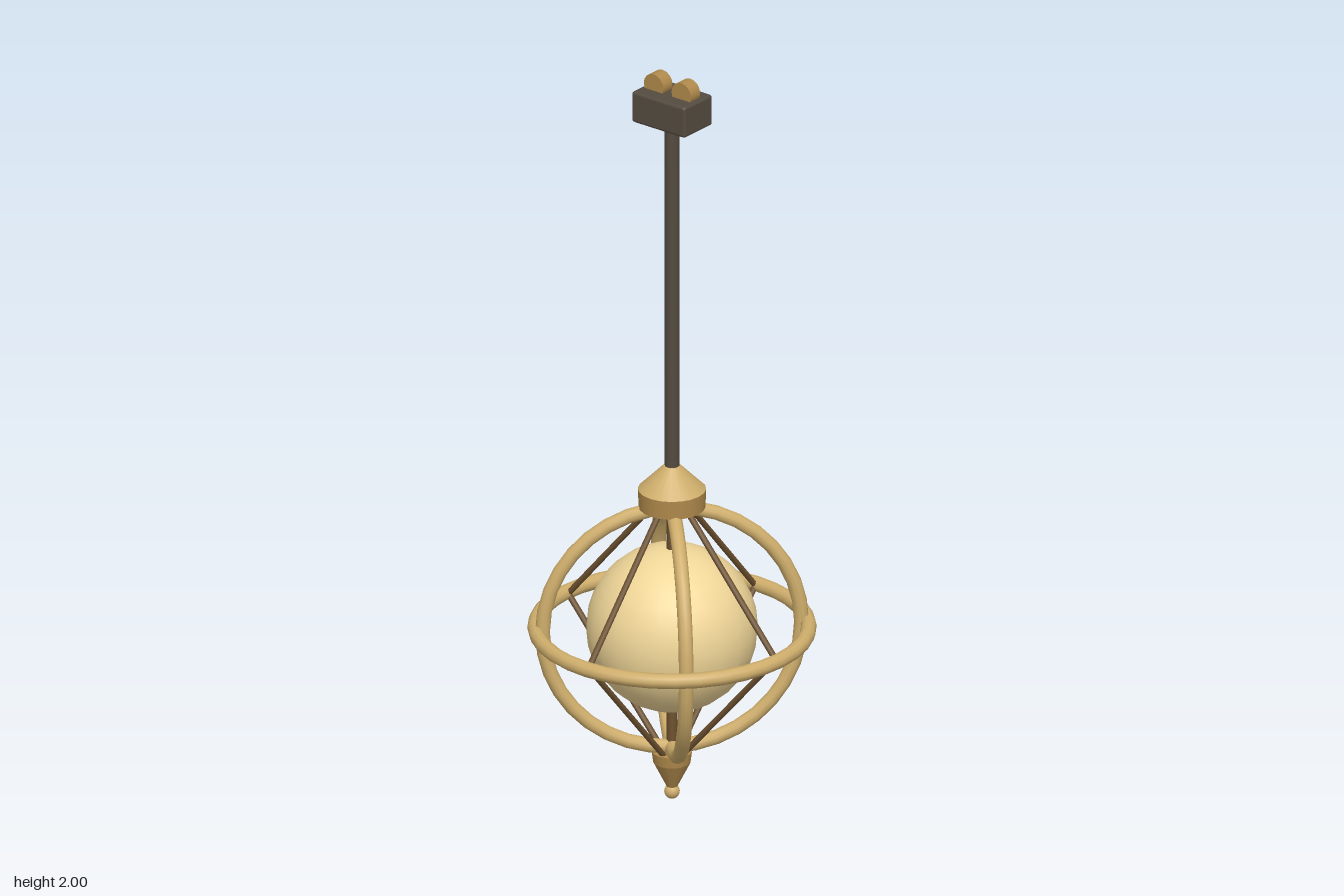
import * as THREE from 'three';
import { RoundedBoxGeometry } from 'three/addons/geometries/RoundedBoxGeometry.js';

const material = (color) => new THREE.MeshStandardMaterial({ color });

export function createModel() {
  const lamp = new THREE.Group();
  lamp.name = 'pendantLamp';

  const iron = material(0x544b40);
  const brass = material(0xcfae6c);
  const oldBrass = material(0xb08a4c);
  const bronze = material(0x6e5230);
  const glass = material(0xf0d698);

  const CENTER = 0.475; // height of the globe and cage centre

  const add = (name, geometry, mat, x = 0, y = 0, z = 0) => {
    const mesh = new THREE.Mesh(geometry, mat);
    mesh.name = name;
    mesh.position.set(x, y, z);
    lamp.add(mesh);
    return mesh;
  };

  // Straight round bar between two points
  const bar = (name, a, b, radius, mat, sides = 8) => {
    const dir = b.clone().sub(a);
    const mesh = add(name, new THREE.CylinderGeometry(radius, radius, dir.length(), sides), mat);
    mesh.position.copy(a).add(b).multiplyScalar(0.5);
    mesh.quaternion.setFromUnitVectors(new THREE.Vector3(0, 1, 0), dir.normalize());
    return mesh;
  };

  // Ceiling carriage with two wheels
  add('carriage', new RoundedBoxGeometry(0.115, 0.085, 0.174, 2, 0.008), iron, 0, 1.912, 0);
  for (const side of [-1, 1]) {
    const wheel = add('wheel', new THREE.CylinderGeometry(0.032, 0.032, 0.037, 16), oldBrass, 0, 1.968, side * 0.045);
    wheel.rotation.z = Math.PI / 2;
  }

  // Hanging stem, and the thinner spindle inside the cage
  add('stem', new THREE.CylinderGeometry(0.019, 0.019, 0.98, 12), iron, 0, 1.39, 0);
  add('spindle', new THREE.CylinderGeometry(0.014, 0.014, 0.72, 8), bronze, 0, 0.475, 0);

  // Collar: band with a conical cap
  add('collarBand', new THREE.CylinderGeometry(0.087, 0.085, 0.05, 20), oldBrass, 0, 0.833, 0);
  add('collarCap', new THREE.CylinderGeometry(0.022, 0.087, 0.065, 20), brass, 0, 0.89, 0);

  // Globe
  add('globe', new THREE.SphereGeometry(0.219, 24, 16), glass, 0, CENTER, 0);

  // Cage: one level hoop and two crossed upright hoops
  const equator = add('equatorHoop', new THREE.TorusGeometry(0.348, 0.02, 10, 36), brass, 0, CENTER, 0);
  equator.rotation.x = Math.PI / 2;
  for (const angle of [Math.PI / 4, -Math.PI / 4]) {
    const hoop = add('uprightHoop', new THREE.TorusGeometry(0.331, 0.019, 10, 36), brass, 0, CENTER, 0);
    hoop.rotation.y = angle;
  }

  // Thin stays from the collar to the level hoop and down to the finial
  for (let i = 0; i < 4; i++) {
    const a = (i * Math.PI) / 2;
    const at = (r, y) => new THREE.Vector3(r * Math.cos(a), y, r * Math.sin(a));
    bar('upperStay', at(0.04, 0.82), at(0.338, CENTER), 0.008, bronze);
    bar('lowerStay', at(0.03, 0.125), at(0.338, CENTER), 0.008, bronze);
  }

  // Finial: short band, tapering cone and ball tip
  add('finialBand', new THREE.CylinderGeometry(0.052, 0.048, 0.03, 16), oldBrass, 0, 0.117, 0);
  add('finialCone', new THREE.CylinderGeometry(0.048, 0.013, 0.07, 16), oldBrass, 0, 0.067, 0);
  add('finialBall', new THREE.SphereGeometry(0.02, 16, 12), brass, 0, 0.02, 0);

  return lamp;
}
